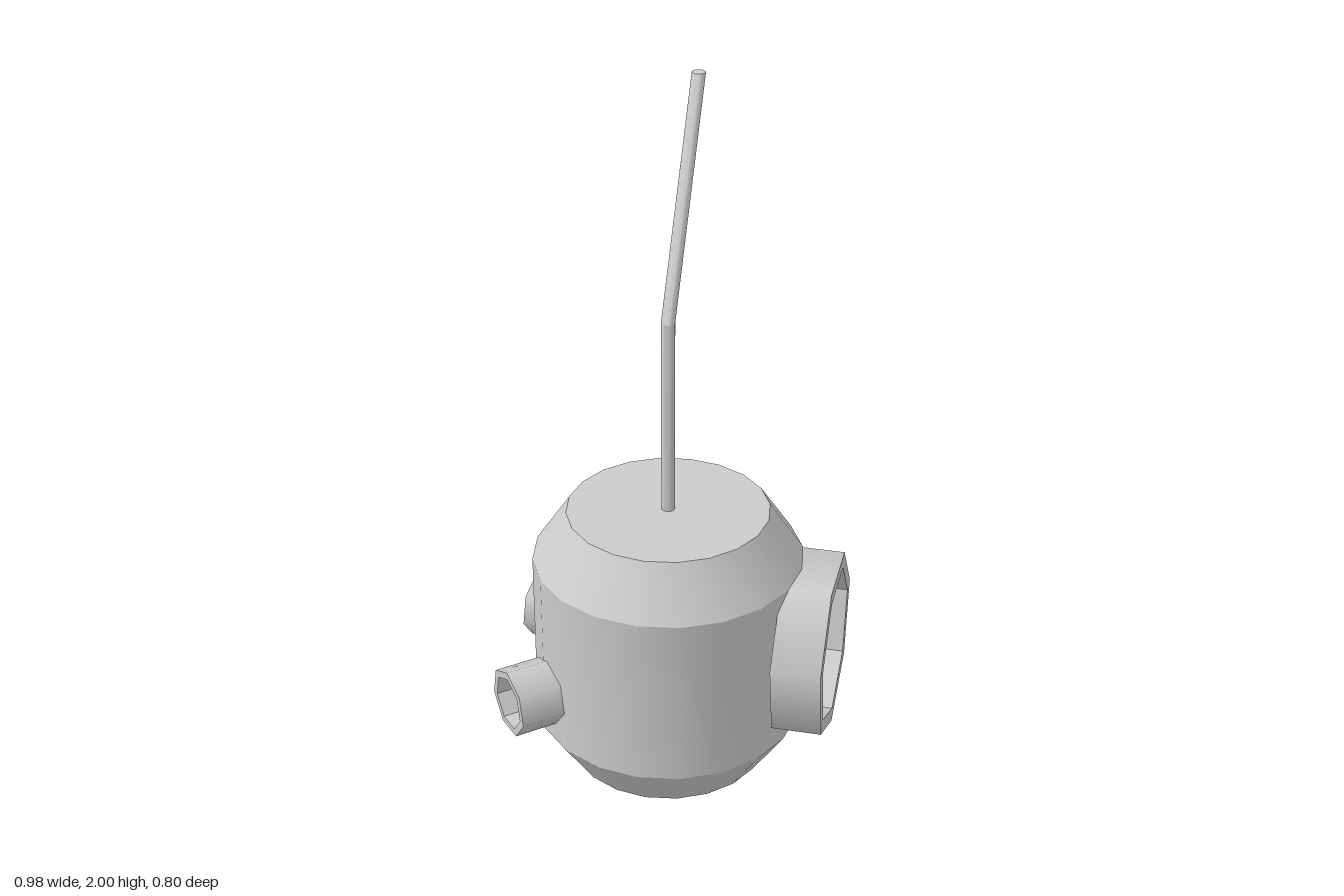
import * as THREE from 'three';
import { toCreasedNormals } from 'three/addons/utils/BufferGeometryUtils.js';

const material = new THREE.MeshStandardMaterial({ color: 0xcccccc });
const CX = -0.01, CZ = -0.006;

function lathe(profile, sides) {
  const points = profile.map(([r, y]) => new THREE.Vector2(r, y));
  return toCreasedNormals(new THREE.LatheGeometry(points, sides), 0.5);
}

function addMesh(parent, name, geometry) {
  const mesh = new THREE.Mesh(geometry, material);
  mesh.name = name;
  parent.add(mesh);
  return mesh;
}

// Seven-sided socket running along +z from its back face, with a recessed floor
function makePort(name, { radius, inner, length, depth, roll, back, heading }) {
  const port = new THREE.Group();
  port.name = name;
  const wall = new THREE.CylinderGeometry(radius, radius, length, 7, 1, true);
  wall.translate(0, length / 2, 0);
  const floor = length - depth;
  const recess = lathe([[radius, length], [inner, length], [inner, floor], [0, floor]], 7);
  const cap = lathe([[0, 0], [radius, 0]], 7);
  const parts = { outerWall: wall, rimAndRecess: recess, backCap: cap };
  for (const [part, geometry] of Object.entries(parts)) {
    geometry.rotateX(Math.PI / 2).rotateZ(roll);
    addMesh(port, part, geometry);
  }
  port.position.set(...back);
  port.rotation.y = heading;
  return port;
}

export function createModel() {
  const model = new THREE.Group();
  model.name = 'canister';

  // Drum with chamfered top and bottom
  const body = lathe([[0, 0], [0.295, 0], [0.395, 0.15], [0.395, 0.67], [0.295, 0.82], [0, 0.82]], 20);
  addMesh(model, 'body', body).position.set(CX, 0, CZ);

  // Bent rod: upper half leans back, every ring stays level
  const rod = new THREE.CylinderGeometry(0.02, 0.02, 1.18, 16, 2);
  const p = rod.attributes.position;
  for (let i = 0; i < p.count; i++) {
    p.setZ(i, p.getZ(i) - Math.max(0, p.getY(i)) * (0.375 / 0.59));
  }
  addMesh(model, 'bentRod', toCreasedNormals(rod, 0.5)).position.set(CX, 1.41, CZ);

  // Large port on the left side
  model.add(makePort('largePort', {
    radius: 0.273, inner: 0.228, length: 0.145, depth: 0.08, roll: 0,
    back: [0.345, 0.423, CZ], heading: Math.PI / 2,
  }));

  // Two small ports on the right side
  const small = { radius: 0.103, inner: 0.08, length: 0.135, depth: 0.08, roll: Math.PI };
  model.add(makePort('smallFrontPort', {
    ...small, back: [-0.309, 0.302, 0.234], heading: Math.atan2(-0.745, 0.667),
  }));
  model.add(makePort('smallBackPort', {
    ...small, back: [-0.343, 0.302, -0.186], heading: Math.atan2(-0.985, -0.173),
  }));

  return model;
}
